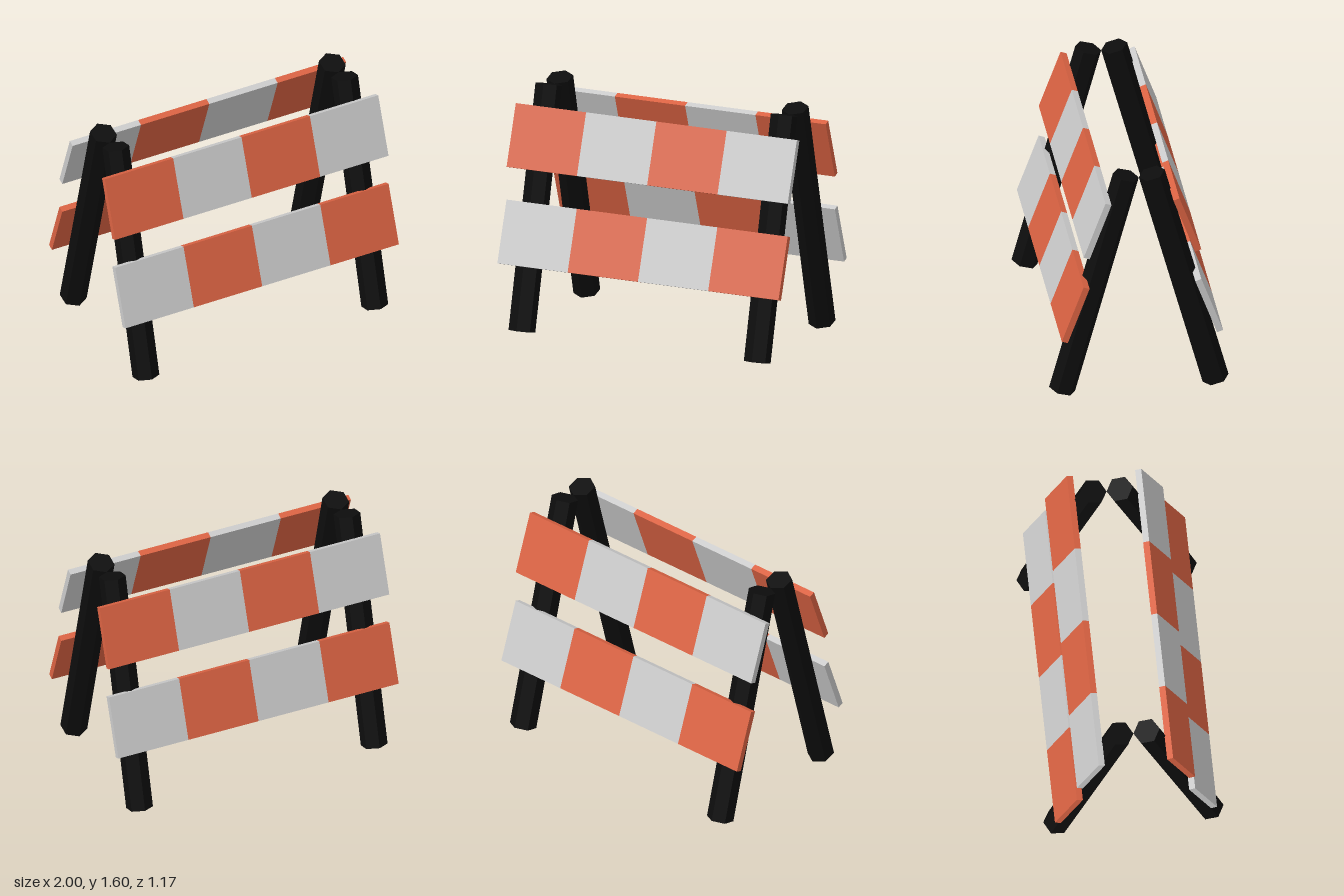
import * as THREE from 'three';

const grey = new THREE.MeshStandardMaterial({ color: 0xcccccc, flatShading: true });
const orange = new THREE.MeshStandardMaterial({ color: 0xdb6343, flatShading: true });
const black = new THREE.MeshStandardMaterial({ color: 0x0d0d0d, flatShading: true });

const legGeometry = new THREE.CylinderGeometry(0.0875, 0.0875, 1.61, 6);
const stripeGeometry = new THREE.BoxGeometry(0.5, 0.416, 0.042);

// Striped board leaning back; alternating blocks run from -x to +x
function makePlank(name, y, z, first, second) {
  const plank = new THREE.Group();
  plank.name = name;
  for (let i = 0; i < 4; i++) {
    const stripe = new THREE.Mesh(stripeGeometry, i % 2 ? second : first);
    stripe.name = 'stripe';
    stripe.position.x = -0.75 + i * 0.5;
    plank.add(stripe);
  }
  plank.position.set(0, y, z);
  plank.rotation.x = THREE.MathUtils.degToRad(-20);
  return plank;
}

// One side of the A-frame: two sloping hexagonal legs and two boards
function makePanel(name) {
  const panel = new THREE.Group();
  panel.name = name;
  for (const side of [-1, 1]) {
    const leg = new THREE.Mesh(legGeometry, black);
    leg.name = side > 0 ? 'leftLeg' : 'rightLeg';
    leg.position.set(side * 0.837, 0.8, 0.293);
    leg.rotation.x = THREE.MathUtils.degToRad(-15);
    panel.add(leg);
  }
  panel.add(makePlank('upperPlank', 1.268, 0.293, orange, grey));
  panel.add(makePlank('lowerPlank', 0.656, 0.436, grey, orange));
  return panel;
}

export function createModel() {
  const barrier = new THREE.Group();
  barrier.name = 'barrier';
  const front = makePanel('frontPanel');
  // The back is the same panel turned half a turn
  const back = makePanel('backPanel');
  back.rotation.y = Math.PI;
  barrier.add(front, back);
  return barrier;
}
